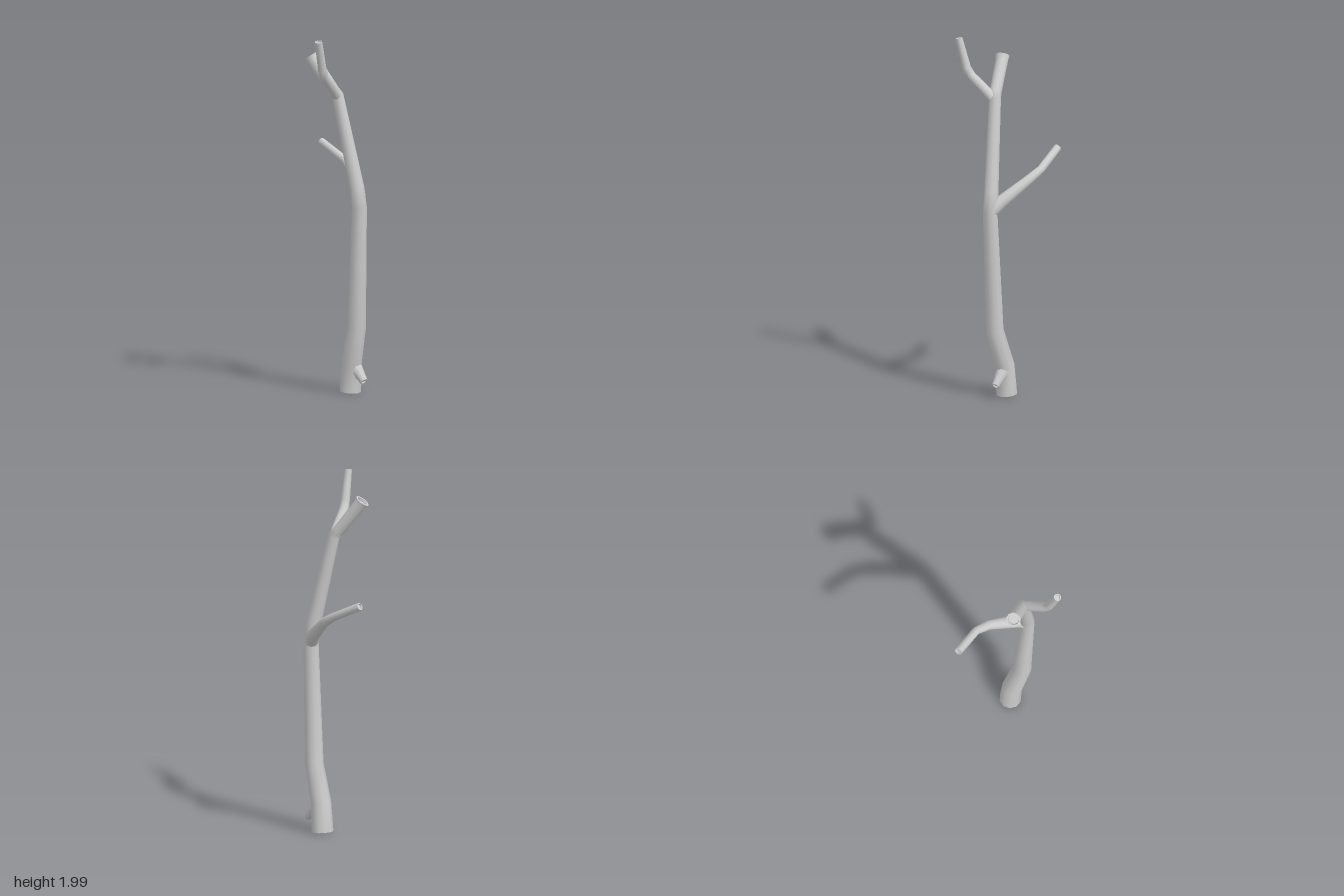
import * as THREE from 'three';

const SIDES = 10;
const V = (x, y, z) => new THREE.Vector3(x, y, z);

// Skin a list of rings { p: centre, t: axis, r: radius } with quads
function loft(rings) {
  const pos = [], index = [];
  for (const { p, t, r } of rings) {
    const u = V(1, 0, 0).addScaledVector(t, -t.x).normalize();
    const v = t.clone().cross(u);
    for (let j = 0; j < SIDES; j++) {
      const a = (j / SIDES) * Math.PI * 2;
      const q = p.clone().addScaledVector(u, r * Math.cos(a)).addScaledVector(v, r * Math.sin(a));
      pos.push(q.x, q.y, q.z);
    }
  }
  for (let i = 0; i < rings.length - 1; i++) {
    for (let j = 0; j < SIDES; j++) {
      const k = (j + 1) % SIDES;
      const a = i * SIDES + j, b = i * SIDES + k;
      index.push(a, b, b + SIDES, a, b + SIDES, a + SIDES);
    }
  }
  const g = new THREE.BufferGeometry();
  g.setAttribute('position', new THREE.Float32BufferAttribute(pos, 3));
  g.setIndex(index);
  return g;
}

// Points are [x, y, z, radius]; rings tilt to the mean direction at each bend
function limbRings(points) {
  const ps = points.map(([x, y, z]) => V(x, y, z));
  return ps.map((p, i) => {
    const t = V(0, 0, 0);
    if (i > 0) t.add(p.clone().sub(ps[i - 1]).normalize());
    if (i < ps.length - 1) t.add(ps[i + 1].clone().sub(p).normalize());
    return { p, t: t.normalize(), r: points[i][3] };
  });
}

// Cut end: flat rim around a shallow recess
function cutEnd({ p, t, r }) {
  const inner = p.clone().addScaledVector(t, -0.4 * r);
  const g = loft([
    { p, t, r },
    { p, t, r: r * 0.76 },
    { p: inner, t, r: r * 0.7 },
    { p: inner, t, r: 0.0001 },
  ]).toNonIndexed();
  g.computeVertexNormals();
  return g;
}

export function createModel() {
  const model = new THREE.Group();
  model.name = 'bareTree';
  const bark = new THREE.MeshStandardMaterial({ color: 0xcccccc });

  function addLimb(name, points, cutBase = false) {
    const limb = new THREE.Group();
    limb.name = name;
    const add = (part, geometry) => {
      const mesh = new THREE.Mesh(geometry, bark);
      mesh.name = part;
      limb.add(mesh);
    };
    const rings = limbRings(points);
    const skin = loft(rings);
    skin.computeVertexNormals();
    add(name + 'Bark', skin);
    add(name + 'CutEnd', cutEnd(rings[rings.length - 1]));
    if (cutBase) {
      const { p, t, r } = rings[0];
      add(name + 'CutBase', cutEnd({ p, t: t.clone().negate(), r }));
    }
    model.add(limb);
  }

  // Trunk, kinked above the foot and at each fork
  addLimb('trunk', [
    [0.095, 0.01, 0.105, 0.06],
    [0.096, 0.17, 0.119, 0.056],
    [0.096, 0.38, 0.187, 0.051],
    [0.097, 1.05, 0.219, 0.042],
    [0.088, 1.16, 0.205, 0.041],
    [0.01, 1.66, 0.123, 0.034],
    [-0.01, 1.69, 0.105, 0.034],
    [-0.085, 1.848, 0.007, 0.036],
    [-0.095, 1.868, -0.004, 0.041],
  ], true);

  // Upper branch, rising forward from the top fork
  addLimb('upperBranch', [
    [0.012, 1.65, 0.122, 0.03],
    [-0.03, 1.7, 0.15, 0.029],
    [-0.105, 1.78, 0.2, 0.027],
    [-0.125, 1.825, 0.216, 0.025],
    [-0.161, 1.99, 0.244, 0.021],
  ]);

  // Middle branch, reaching backward
  addLimb('middleBranch', [
    [0.1, 1.05, 0.215, 0.036],
    [0.118, 1.105, 0.165, 0.038],
    [0.152, 1.215, 0.0, 0.027],
    [0.15, 1.26, -0.085, 0.023],
    [0.08, 1.345, -0.25, 0.022],
  ]);

  // Short stub of a lost branch near the foot
  addLimb('stub', [
    [0.105, 0.15, 0.125, 0.045],
    [0.115, 0.125, 0.158, 0.034],
    [0.125, 0.095, 0.188, 0.025],
    [0.131, 0.075, 0.207, 0.022],
  ]);

  return model;
}
